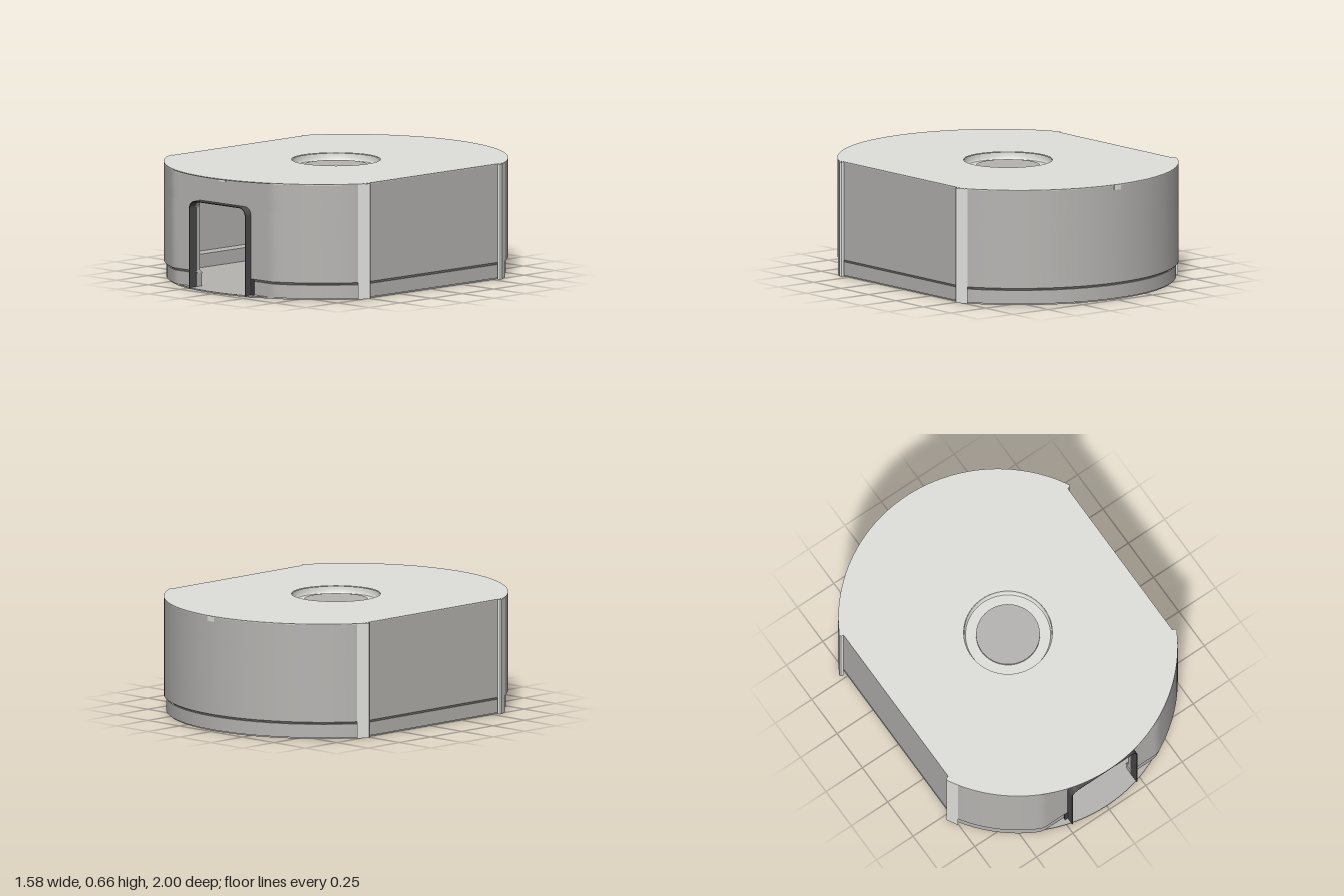
import * as THREE from 'three';
import { toCreasedNormals } from 'three/addons/utils/BufferGeometryUtils.js';

const mat = (name, color) => {
  const m = new THREE.MeshStandardMaterial({ color });
  m.name = name;
  return m;
};

export function createModel() {
  const light = mat('light grey', 0xdfdfdc);
  const mid = mat('mid grey', 0xb6b4b1);
  const dark = mat('dark grey', 0x4a4a4a);
  const navy = mat('dark teal', 0x061a24);
  const cyan = mat('cyan', 0x2cb0c8);
  const model = new THREE.Group();

  const add = (name, geo, material, x = 0, y = 0, z = 0) => {
    const mesh = new THREE.Mesh(geo, material);
    mesh.name = name;
    mesh.position.set(x, y, z);
    model.add(mesh);
    return mesh;
  };
  const box = (name, w, h, d, material, x, y, z) =>
    add(name, new THREE.BoxGeometry(w, h, d), material, x, y, z);

  // Plan outline as [x, z]: two arcs joined by straight sides, optional flat front
  const outline = (inset = 0, front = 1) => {
    const r = 0.9 - inset, side = 0.77 - inset, n = 64;
    const a0 = Math.acos((0.755 - inset) / r);
    const arc = [];
    for (let i = 0; i <= n; i++) {
      const a = a0 + (Math.PI - 2 * a0) * i / n;
      arc.push([r * Math.cos(a), 0.1 + r * Math.sin(a)]);
    }
    return [
      [side, 0.56], ...arc.map(([x, z]) => [x, Math.min(z, front)]), [-side, 0.56],
      [-side, -0.56], ...arc.map(([x, z]) => [-x, -z]), [side, -0.56],
    ];
  };

  // Hollow wall plan, open at the doorway: outer line one way, inner line back
  const openLine = (inset, front) => {
    const pts = outline(inset, front);
    const left = pts.findIndex(([x]) => x < -0.225);
    const right = pts.findIndex(([x]) => x < 0.225);
    return [[-0.22, front], ...pts.slice(left), ...pts.slice(0, right), [0.22, front]];
  };
  const wallPlan = (inset, front) =>
    [...openLine(inset, front), ...openLine(inset + 0.04, front - 0.04).reverse()];

  // Extrude a plan upwards from y0 to y1; the foot can be drawn in
  const slab = (name, pts, y0, y1, material, { hole = 0, foot = 1 } = {}) => {
    const shape = new THREE.Shape(pts.map(([x, z]) => new THREE.Vector2(x, -z)));
    if (hole) shape.holes.push(new THREE.Path().absarc(0, 0, hole, 0, Math.PI * 2, true));
    const geo = new THREE.ExtrudeGeometry(shape, { depth: y1 - y0, bevelEnabled: false, curveSegments: 48 });
    geo.rotateX(-Math.PI / 2);
    const p = geo.attributes.position;
    for (let i = 0; i < p.count; i++)
      if (p.getY(i) < (y1 - y0) / 2) p.setXYZ(i, p.getX(i) * foot, p.getY(i), p.getZ(i) * foot);
    return add(name, toCreasedNormals(geo, 0.4), material, 0, y0, 0);
  };

  // Housing, stacked from the base upwards
  const shell = [light, mid];
  slab('basePlate', outline(0.025), 0, 0.008, mid);
  slab('baseRing', wallPlan(0.015, 0.895), 0.008, 0.085, mid);
  slab('wallChamfer', wallPlan(0, 0.91), 0.085, 0.1, mid, { foot: 0.978 });
  slab('housingWall', wallPlan(0, 0.91), 0.1, 0.5, mid);
  slab('housingTop', outline(0, 0.91), 0.5, 0.62, shell);
  slab('housingRim', outline(0, 0.91), 0.62, 0.657, shell, { hole: 0.25 });
  slab('topPlate', outline(), 0.657, 0.662, light, { hole: 0.25 });

  // Inner side of the round recess, and the button in it
  const recess = new THREE.LatheGeometry(
    [[0.24, 0.621], [0.249, 0.63], [0.249, 0.66]].map(([x, y]) => new THREE.Vector2(x, y)).reverse(), 64);
  recess.computeVertexNormals();
  add('recessWall', recess, light);
  add('button', new THREE.CylinderGeometry(0.18, 0.18, 0.012, 64), mid, 0, 0.626, 0);

  // Upright ribs on the four corners
  const rib = [[0.77, 0.515], [0.785, 0.52], [0.79, 0.53], [0.755, 0.591], [0.74, 0.56]];
  for (const sx of [1, -1]) for (const sz of [1, -1])
    slab('cornerRib', rib.map(([x, z]) => [x * sx, z * sz]), 0.004, 0.661, light);

  // Doorway frame: thin arch with rounded top corners
  const frame = new THREE.Shape();
  frame.moveTo(-0.224, 0.004);
  frame.lineTo(-0.224, 0.457);
  frame.absarc(-0.174, 0.457, 0.05, Math.PI, Math.PI / 2, true);
  frame.absarc(0.174, 0.457, 0.05, Math.PI / 2, 0, true);
  frame.lineTo(0.224, 0.004);
  frame.lineTo(0.219, 0.004);
  frame.lineTo(0.219, 0.457);
  frame.absarc(0.174, 0.457, 0.045, 0, Math.PI / 2, false);
  frame.absarc(-0.174, 0.457, 0.045, Math.PI / 2, Math.PI, false);
  frame.lineTo(-0.219, 0.004);
  add('doorFrame', new THREE.ExtrudeGeometry(frame, { depth: 0.06, bevelEnabled: false }), dark, 0, 0, 0.895);

  // Wall filling the rounded upper corners of the doorway
  for (const s of [1, -1]) {
    const corner = new THREE.Shape();
    corner.moveTo(s * 0.222, 0.455);
    corner.lineTo(s * 0.222, 0.503);
    corner.lineTo(s * 0.174, 0.503);
    corner.lineTo(s * 0.207, 0.49);
    add('doorCorner', new THREE.ExtrudeGeometry(corner, { depth: 0.03, bevelEnabled: false }), mid, 0, 0, 0.879);
    box('doorSlot', 0.02, 0.09, 0.01, dark, s * 0.233, 0.053, 0.907);
  }

  // Deep inside the doorway: lower panel, step and display
  box('lowerPanel', 1, 0.21, 0.05, light, 0, 0.113, -0.1);
  box('panelGroove', 1, 0.012, 0.04, dark, 0, 0.224, -0.105);
  box('panelLip', 1, 0.008, 0.045, light, 0, 0.234, -0.103);
  box('displayScreen', 1, 0.262, 0.008, navy, 0, 0.369, -0.121);
  const wave = new THREE.Shape();
  wave.moveTo(0.045, 0.285);
  wave.lineTo(0.3, 0.285);
  wave.lineTo(0.3, 0.345);
  wave.splineThru([
    [0.19, 0.35], [0.17, 0.385], [0.145, 0.4], [0.125, 0.365],
    [0.1, 0.345], [0.075, 0.365], [0.06, 0.395], [0.038, 0.385],
  ].map(([x, y]) => new THREE.Vector2(x, y)));
  add('displayWave', new THREE.ExtrudeGeometry(wave, { depth: 0.004, bevelEnabled: false }), cyan, 0, 0, -0.117);
  box('displayStrip', 0.14, 0.006, 0.004, cyan, 0, 0.241, -0.114);

  // Small tabs under the top edge, front and back
  box('frontTab', 0.05, 0.028, 0.006, light, 0, 0.645, 0.911);
  box('backTab', 0.05, 0.028, 0.006, light, 0, 0.645, -0.998);

  return model;
}
